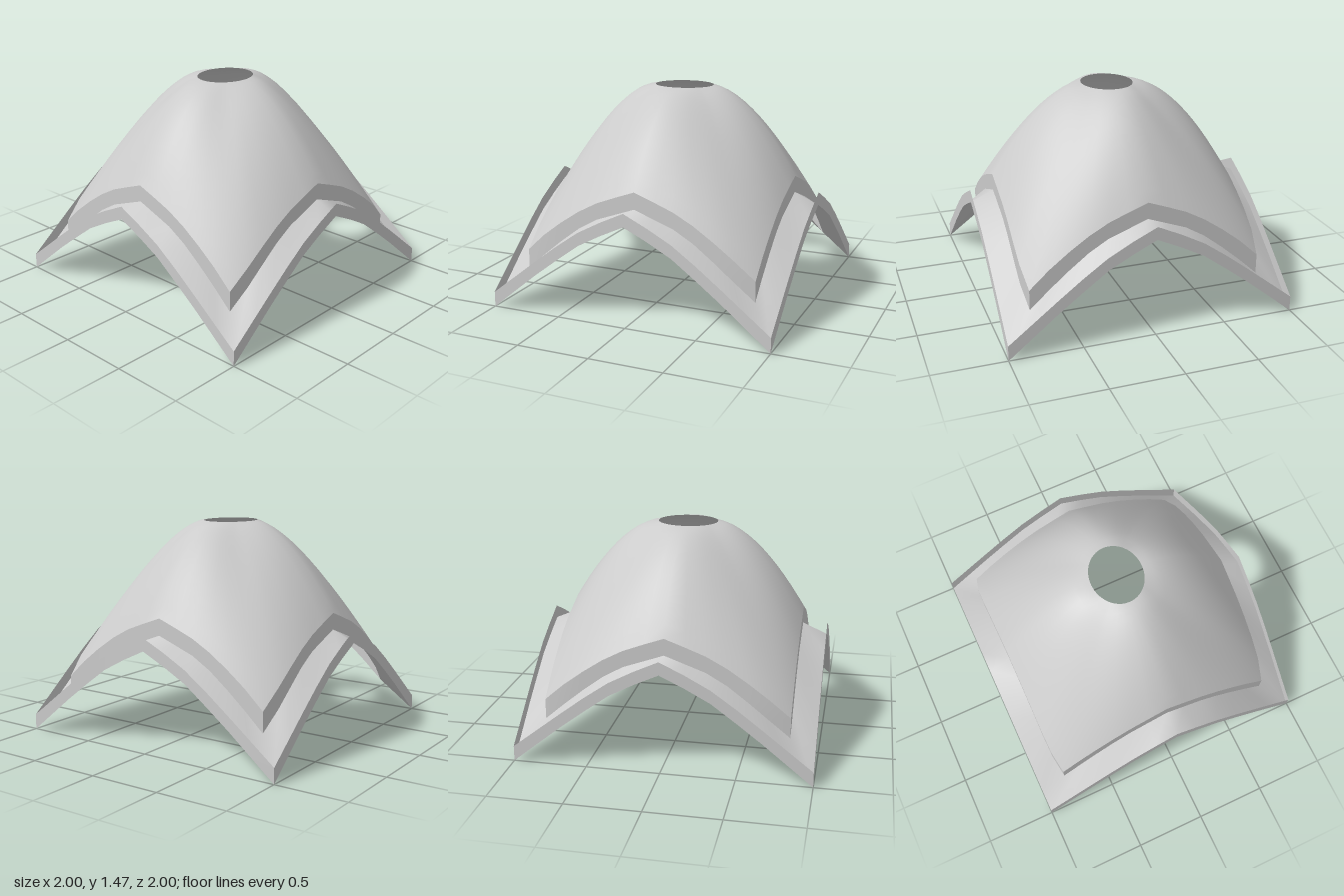
import * as THREE from 'three';
import { toCreasedNormals } from 'three/addons/utils/BufferGeometryUtils.js';

const STEPS = 12; // segments along each of the four sides
const material = new THREE.MeshStandardMaterial({ color: 0xcccccc, side: THREE.DoubleSide });

// Height of an arched edge at u (0 = middle of a side, 1 = corner)
function arch(points, u) {
  const t = Math.abs(u);
  for (let i = 1; i < points.length; i++) {
    const [u0, y0] = points[i - 1], [u1, y1] = points[i];
    if (t <= u1) return y0 + (y1 - y0) * (t - u0) / (u1 - u0);
  }
  return points[points.length - 1][1];
}

// Closed loop around the square plan: front, left, back, right
function squareLoop(pointAt) {
  const loop = [];
  for (let side = 0; side < 4; side++) {
    for (let i = 0; i < STEPS; i++) {
      const u = -1 + 2 * i / STEPS;
      const p = pointAt(u, side % 2 === 1);
      const s = side < 2 ? 1 : -1;
      loop.push(side % 2 === 0
        ? new THREE.Vector3(s * p.along, p.y, s * p.out)
        : new THREE.Vector3(s * p.out, p.y, -s * p.along));
    }
  }
  return loop;
}

// Skin between closed loops, listed from the lower/outer one upwards
function skin(loops) {
  const n = loops[0].length, index = [];
  for (let r = 0; r < loops.length - 1; r++) {
    for (let i = 0; i < n; i++) {
      const a = r * n + i, b = r * n + (i + 1) % n;
      index.push(a, b, b + n, a, b + n, a + n);
    }
  }
  const geometry = new THREE.BufferGeometry().setFromPoints(loops.flat());
  geometry.setIndex(index);
  geometry.computeVertexNormals();
  return geometry;
}

const OUTER_BOTTOM = [[0, 0.69], [0.17, 0.61], [0.33, 0.525], [0.5, 0.4], [0.67, 0.27], [1, 0]];
const OUTER_TOP = [[0, 0.78], [0.17, 0.7], [0.33, 0.615], [0.5, 0.495], [0.67, 0.365], [1, 0.105]];
const INNER_BOTTOM = [[0, 0.765], [0.2, 0.705], [0.4, 0.645], [0.6, 0.525], [0.8, 0.39], [1, 0.24]];
const INNER_TOP = [[0, 0.88], [0.2, 0.82], [0.4, 0.755], [0.6, 0.65], [0.8, 0.53], [1, 0.38]];

const outer = (profile) => squareLoop((u) => ({ along: u, out: 1, y: arch(profile, u) }));

// Inner square: its two x sides bow out slightly between the corners
const inner = (profile) => squareLoop((u, xSide) => ({
  along: u * (xSide ? 0.83 : 0.81),
  out: xSide ? 0.84 - 0.03 * Math.max(0, (Math.abs(u) - 0.8) / 0.2) : 0.83,
  y: arch(profile, u),
}));

// Dome rings run from the square edge up to the oval opening
function domeLoops() {
  const edge = inner(INNER_TOP), loops = [], rings = 12;
  for (let r = 0; r <= rings; r++) {
    const t = 1 - r / rings;
    loops.push(edge.map((p) => {
      const angle = Math.atan2(p.z, p.x);
      const corner = Math.abs(Math.sin(2 * angle));
      const drop = Math.pow(t, 1.74 - 0.39 * corner * corner);
      return new THREE.Vector3(
        THREE.MathUtils.lerp(0.18 * Math.cos(angle), p.x, t),
        1.47 - (1.47 - p.y) * drop,
        THREE.MathUtils.lerp(0.21 * Math.sin(angle), p.z, t));
    }));
  }
  return loops;
}

export function createModel() {
  const group = new THREE.Group();
  const add = (name, geometry) => {
    const mesh = new THREE.Mesh(geometry, material);
    mesh.name = name;
    group.add(mesh);
  };
  const sharp = (loops) => toCreasedNormals(skin(loops), 0.6);

  // Thin upright border around the outside
  add('outerRim', sharp([outer(OUTER_BOTTOM), outer(OUTER_TOP)]));
  // Sloping sheet between the border and the dome
  add('flange', skin([outer(OUTER_BOTTOM), inner(INNER_BOTTOM)]));
  // Upright band that carries the dome
  add('domeBand', sharp([inner(INNER_BOTTOM), inner(INNER_TOP)]));
  // Smooth dome, open at the top
  add('dome', skin(domeLoops()));
  return group;
}
